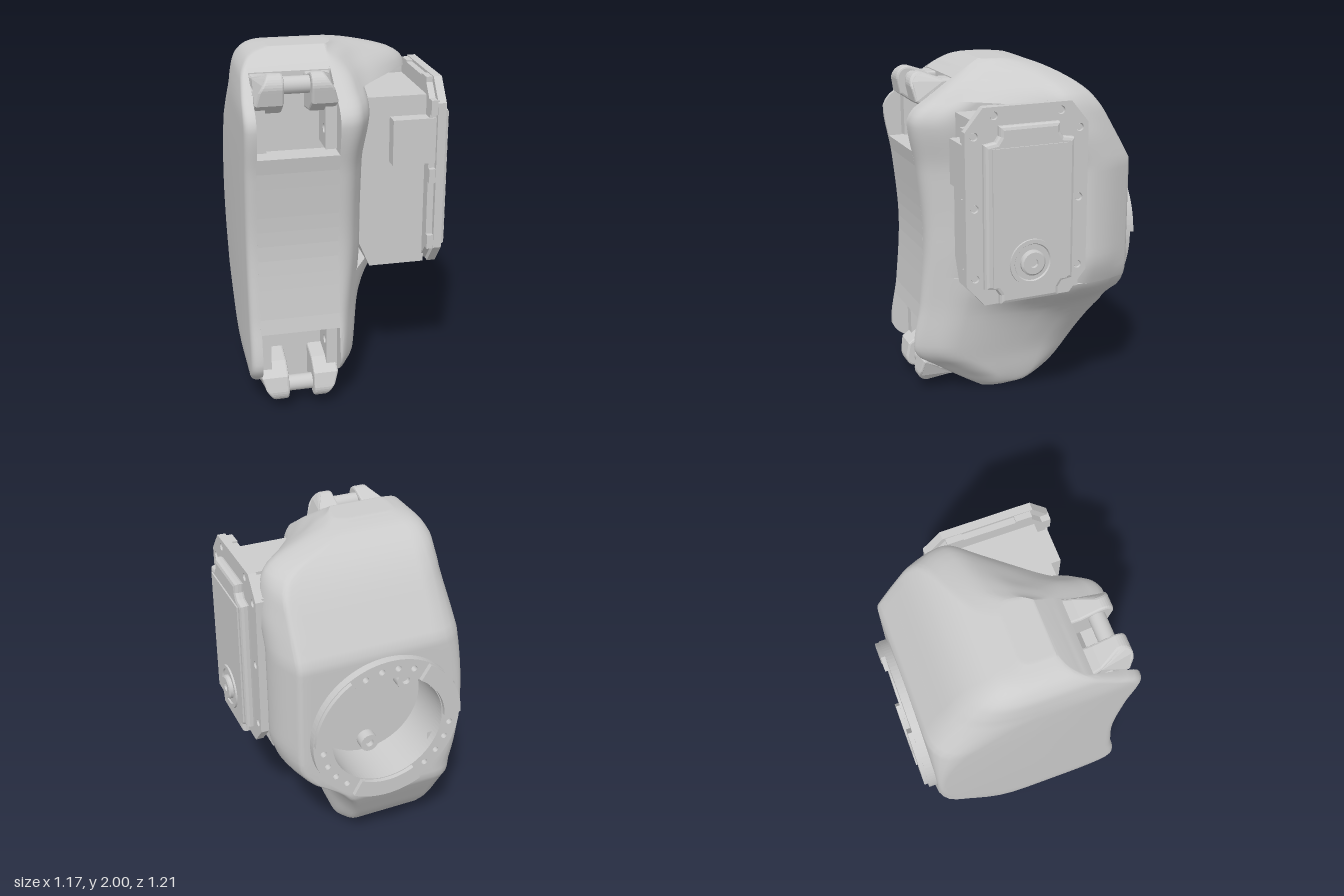
import * as THREE from 'three';
import { toCreasedNormals } from 'three/addons/utils/BufferGeometryUtils.js';

const GREY = new THREE.MeshStandardMaterial({ color: 0xcccccc, side: THREE.DoubleSide });
const RING = { x: -0.1, y: 1 };

// Smooth, non-overshooting curve through [position, value] pairs
function curve(pts) {
  const slope = i => (pts[i + 1][1] - pts[i][1]) / (pts[i + 1][0] - pts[i][0]);
  const tangent = i => {
    if (i === 0) return slope(0);
    if (i === pts.length - 1) return slope(i - 1);
    const a = slope(i - 1), b = slope(i);
    return a * b <= 0 ? 0 : 2 * a * b / (a + b);
  };
  return y => {
    let i = 0;
    while (i < pts.length - 2 && y > pts[i + 1][0]) i++;
    const h = pts[i + 1][0] - pts[i][0], t = (y - pts[i][0]) / h, t2 = t * t, t3 = t2 * t;
    return (2 * t3 - 3 * t2 + 1) * pts[i][1] + (t3 - 2 * t2 + t) * h * tangent(i)
      + (3 * t2 - 2 * t3) * pts[i + 1][1] + (t3 - t2) * h * tangent(i + 1);
  };
}

// Housing outline as functions of height
const front = curve([[0, 0.18], [0.03, 0.23], [0.1, 0.34], [0.2, 0.487], [0.26, 0.573], [0.32, 0.603], [0.6, 0.56], [1, 0.53],
  [1.4, 0.56], [1.68, 0.603], [1.74, 0.573], [1.8, 0.487], [1.9, 0.34], [1.97, 0.23], [2, 0.18]]);
const back = curve([[0, 0], [0.02, -0.12], [0.1, -0.25], [0.2, -0.338], [0.35, -0.432], [0.52, -0.53], [0.53, -0.535], [1.47, -0.535],
  [1.48, -0.53], [1.65, -0.432], [1.8, -0.338], [1.9, -0.25], [1.98, -0.12], [2, 0]]);
const flat = curve([[0, -0.4], [0.02, -0.475], [0.05, -0.52], [0.12, -0.56], [0.3, -0.582], [1.7, -0.582], [1.88, -0.56],
  [1.95, -0.52], [1.98, -0.475], [2, -0.4]]);
const lip = curve([[0, -0.06], [0.03, -0.02], [0.1, 0.005], [0.25, 0.02], [0.6, 0.05], [1, 0.08], [1.4, 0.08], [1.7, 0.11],
  [1.85, 0.1], [1.95, 0.04], [2, -0.05]]);
const bulge = curve([[0, -0.05], [0.03, -0.01], [0.1, 0.012], [0.25, 0.04], [0.42, 0.1], [0.55, 0.18], [0.62, 0.26], [0.7, 0.37],
  [0.78, 0.43], [0.95, 0.475], [1.6, 0.475], [1.75, 0.455], [1.84, 0.425], [1.89, 0.365], [1.95, 0.18], [2, -0.04]]);

// Horizontal section of the housing with its front channel and motor bay
function section(y, bay) {
  const zf = front(y), zb = back(y), xl = flat(y), x2 = lip(y), xm = Math.max(bulge(y), x2 + 0.005);
  const nl = Math.max(-0.52, xl + 0.02), nz = Math.min(0.33, zf), depth = zf - zb, z2 = zf - Math.min(0.17, depth * 0.3);
  const zm = zb + 0.3 * depth, xb = Math.min(0.39, xm - 0.06);
  const c = [[xl, zb, 0.04 + 0.7 * (y - 1) ** 2], [xl, zf, 0.05], [nl, zf, 0], [nl, nz, 0], [-0.09, nz, 0], [-0.09, zf, 0],
    [Math.max(-0.085, x2 - 0.1), zf, 0.06], [x2, z2, 0.08],
    bay ? [x2 - 0.02, -0.1, 0.2] : [(x2 + xm) / 2, (z2 + zm) / 2, 0.2],
    [xm, zm, 0.08], [xm - 0.005, zb + 0.16 * depth, 0.1], [xb, zb, 0.03]];
  for (let i = 1; i < 17; i++) c.push([xb + (xl - xb) * (0.03 + 0.8 * i / 17), zb, 0]);
  const out = [];
  c.forEach(([x, z, r], i) => {
    if (!r) return out.push([x, y, z]);
    const toward = q => {
      const d = Math.hypot(q[0] - x, q[1] - z) || 1, k = Math.min(r, d * (q[2] ? 0.45 : 0.9)) / d;
      return [x + (q[0] - x) * k, z + (q[1] - z) * k];
    };
    const a = toward(c[(i + c.length - 1) % c.length]), b = toward(c[(i + 1) % c.length]);
    for (let s = 0; s <= 6; s++) {
      const t = s / 6, u = 1 - t;
      out.push([u * u * a[0] + 2 * u * t * x + t * t * b[0], y, u * u * a[1] + 2 * u * t * z + t * t * b[1]]);
    }
  });
  return out;
}

function housingGeometry() {
  const levels = [];
  for (let i = 0; i <= 70; i++) {
    const y = 1 - Math.cos(Math.PI * i / 70);
    levels.push([y, y > 0.78 && y < 1.8]);
  }
  levels.push([0.78, false], [0.7801, true], [1.7999, true], [1.8, false]);
  levels.sort((a, b) => a[0] - b[0]);
  const rows = levels.map(l => section(...l)), n = rows[0].length, pos = [];
  const tri = (...p) => p.forEach(v => pos.push(...v));
  // inset loops keep the end caps flat
  const inset = row => row.map(([x, y, z]) => [-0.23 + (x + 0.23) * 0.9, y, 0.09 + (z - 0.09) * 0.9]);
  rows.unshift(inset(rows[0]));
  rows.push(inset(rows[rows.length - 1]));
  for (let i = 0; i < rows.length - 1; i++) for (let j = 0; j < n; j++) {
    const k = (j + 1) % n, a = rows[i][j], b = rows[i][k], c = rows[i + 1][k], d = rows[i + 1][j];
    // leave the rear bore open
    if ((a[2] + c[2]) / 2 < -0.5 && Math.hypot((a[0] + c[0]) / 2 - RING.x, (a[1] + c[1]) / 2 - RING.y) < 0.38) continue;
    tri(a, b, c); tri(a, c, d);
  }
  const top = rows[rows.length - 1], bottom = rows[0];
  for (let j = 1; j < n - 1; j++) { tri(top[0], top[j], top[j + 1]); tri(bottom[0], bottom[j + 1], bottom[j]); }
  const g = new THREE.BufferGeometry();
  g.setAttribute('position', new THREE.Float32BufferAttribute(pos, 3));
  return toCreasedNormals(g, 0.6);
}

export function createModel() {
  const model = new THREE.Group();
  const add = (name, geometry) => {
    const m = new THREE.Mesh(geometry, GREY);
    m.name = name;
    model.add(m);
    return m;
  };
  const poly = pts => new THREE.Shape(pts.map(p => new THREE.Vector2(...p)));
  const hole = (shape, x, y, r) => shape.holes.push(new THREE.Path().absarc(x, y, r, 0, Math.PI * 2, true));
  // Extrudes a (z, y) shape between two x positions
  const slab = (name, shape, x0, x1, bevel = 0) => {
    const g = new THREE.ExtrudeGeometry(shape, { depth: x1 - x0 - 2 * bevel, bevelEnabled: bevel > 0, bevelSize: bevel,
      bevelThickness: bevel, bevelOffset: -bevel, bevelSegments: 2, curveSegments: 20 });
    return add(name, g.rotateY(-Math.PI / 2).translate(x1 - bevel, 0, 0));
  };
  const box = (name, x0, x1, y0, y1, z0, z1) => add(name, new THREE.BoxGeometry(x1 - x0, y1 - y0, z1 - z0)
    .translate((x0 + x1) / 2, (y0 + y1) / 2, (z0 + z1) / 2));
  const rodX = (name, r, x0, x1, y, z) => add(name, new THREE.CylinderGeometry(r, r, x1 - x0, 24)
    .rotateZ(Math.PI / 2).translate((x0 + x1) / 2, y, z));

  add('housing', housingGeometry());

  // Curved cover closing the middle of the front channel
  const panel = [[0.44, 1.51], [0.44, 0.51]];
  for (let i = 0; i <= 12; i++) panel.push([front(0.51 + i / 12), 0.51 + i / 12]);
  slab('frontPanel', poly(panel), -0.525, -0.088);

  // Clevis hinges, mirrored top and bottom
  for (const s of [1, -1]) {
    const Y = y => 1 + s * (y - 1);
    for (const [x0, x1, outer] of [[-0.52, -0.37, -1], [-0.23, -0.09, 1]]) {
      const pts = [[0.32, 1.7], [0.46, 1.72], [0.545, 1.78]];
      for (let i = 0; i <= 10; i++) {
        const a = -0.3 + i * 0.21;
        pts.push([0.498 + 0.065 * Math.cos(a), 1.87 + 0.065 * Math.sin(a)]);
      }
      pts.push([0.38, 1.895], [0.32, 1.895]);
      const lug = slab('hingeLug', poly(pts.map(([z, y]) => [z, Y(y)])), x0, x1, 0.012);
      // chamfer the outer face toward the tip
      const p = lug.geometry.attributes.position, mid = (x0 + x1) / 2;
      for (let i = 0; i < p.count; i++) {
        const rise = Math.max(0, Math.abs(p.getY(i) - 1) - 0.82) * Math.min(1, Math.max(0, (p.getZ(i) - 0.35) / 0.1));
        if ((p.getX(i) - mid) * outer > 0) p.setX(i, p.getX(i) - outer * rise * 0.6);
      }
      lug.geometry.computeVertexNormals();
    }
    for (const x of [-0.52, -0.15]) {
      const plate = poly([[0.32, 1.52], [0.5, 1.52], [0.5, 1.78], [0.44, 1.84], [0.32, 1.84]].map(([z, y]) => [z, Y(y)]));
      hole(plate, 0.45, Y(1.62), 0.025);
      slab('hingePlate', plate, x, x + 0.06);
    }
    rodX('hingePin', 0.045, -0.38, -0.22, Y(1.865), 0.47);
  }

  // Rear mounting ring with three raised arcs and screw holes between them
  const arc = (r0, r1, a0, a1) => {
    const p = new THREE.Shape().absarc(RING.x, RING.y, r1, a0, a1, false);
    return p.absarc(RING.x, RING.y, r0, a1, a0, true);
  };
  const plateZ = (name, shape, z0, z1) => add(name, new THREE.ExtrudeGeometry(shape,
    { depth: z1 - z0, bevelEnabled: false, curveSegments: 48 }).translate(0, 0, z0));
  const ring = new THREE.Shape().absarc(RING.x, RING.y, 0.44, 0, Math.PI * 2, false);
  hole(ring, RING.x, RING.y, 0.33);
  for (let i = 0; i < 3; i++) {
    const mid = Math.PI / 6 + i * Math.PI * 2 / 3;
    plateZ('raisedArc', arc(0.335, 0.435, mid - 0.49, mid + 0.49), -0.605, -0.575);
    for (let k = 0; k < 4; k++) {
      const a = mid + Math.PI / 3 + (k - 1.5) * 0.25;
      hole(ring, RING.x + 0.385 * Math.cos(a), RING.y + 0.385 * Math.sin(a), 0.018);
    }
  }
  plateZ('mountRing', ring, -0.58, -0.525);
  add('bore', new THREE.CylinderGeometry(0.332, 0.332, 0.25, 48, 1, true).rotateX(Math.PI / 2).translate(RING.x, RING.y, -0.42));
  add('boreFloor', new THREE.CircleGeometry(0.34, 48).rotateY(Math.PI).translate(RING.x, RING.y, -0.3));
  for (let i = 0; i < 3; i++) {
    const a = -Math.PI / 2 + i * Math.PI * 2 / 3, profile = [[0, 0.03], [0.025, 0.03], [0.025, 0.06], [0.055, 0.06], [0.055, 0]];
    add('boreScrew', toCreasedNormals(new THREE.LatheGeometry(profile.map(p => new THREE.Vector2(...p)), 20), 0.5)
      .rotateX(-Math.PI / 2).translate(RING.x + 0.25 * Math.cos(a), RING.y + 0.25 * Math.sin(a), -0.3));
  }

  // Motor body, chamfered at its lower inner edge
  const body = poly([[0.06, 0.92], [0.12, 0.78], [0.43, 0.78], [0.43, 1.75], [0.06, 1.75]]);
  add('motorBody', new THREE.ExtrudeGeometry(body, { depth: 0.59, bevelEnabled: false }).translate(0, 0, -0.2));
  box('motorConnector', 0.22, 0.46, 1.39, 1.64, 0.38, 0.47);

  // Octagonal flange with screw holes and rear bosses
  const octagon = (z0, z1, y0, y1, c) => poly([[z0 + c, y0], [z1 - c, y0], [z1, y0 + c * 1.2], [z1, y1 - c * 1.2],
    [z1 - c, y1], [z0 + c, y1], [z0, y1 - c * 1.2], [z0, y0 + c * 1.2]]);
  const flange = octagon(-0.21, 0.49, 0.78, 1.845, 0.1);
  for (const [dz, y] of [[0.19, 1.8], [0.3, 1.7], [0.3, 1.32], [0.3, 0.935]]) for (const s of [-1, 1]) {
    hole(flange, 0.14 + s * dz, y, 0.022);
    rodX('flangeScrew', 0.018, 0.43, 0.49, y, 0.14 + s * dz);
    box('flangeBoss', 0.42, 0.462, y - 0.04, y + 0.04, 0.14 + s * dz - 0.045, 0.14 + s * dz + 0.045);
  }
  slab('flange', flange, 0.455, 0.5);
  slab('flangeBack', octagon(-0.19, 0.46, 0.79, 1.83, 0.1), 0.42, 0.46);

  // Raised motor cover with stepped corners
  const corner = [[0.17, 0.48], [0.17, 0.43], [0.19, 0.4], [0.255, 0.39]];
  const cover = [];
  for (const [sz, sy] of [[1, 1], [1, -1], [-1, -1], [-1, 1]]) {
    const q = corner.map(([z, y]) => [0.145 + sz * z, 1.27 + sy * y]);
    cover.push(...(sz * sy > 0 ? q : q.reverse()));
  }
  slab('motorCover', poly(cover), 0.49, 0.55, 0.02);
  box('coverPanel', 0.54, 0.558, 0.89, 1.64, -0.07, 0.36);

  // Round output boss
  const boss = [[0, 0.015], [0.025, 0.015], [0.025, 0.035], [0.06, 0.035], [0.07, 0.028], [0.07, 0.01], [0.1, 0.01], [0.105, 0.018], [0.128, 0.018], [0.13, 0]];
  add('outputBoss', toCreasedNormals(new THREE.LatheGeometry(boss.map(p => new THREE.Vector2(...p)), 40), 0.5)
    .rotateZ(-Math.PI / 2).translate(0.55, 1.01, 0.14));
  return model;
}
